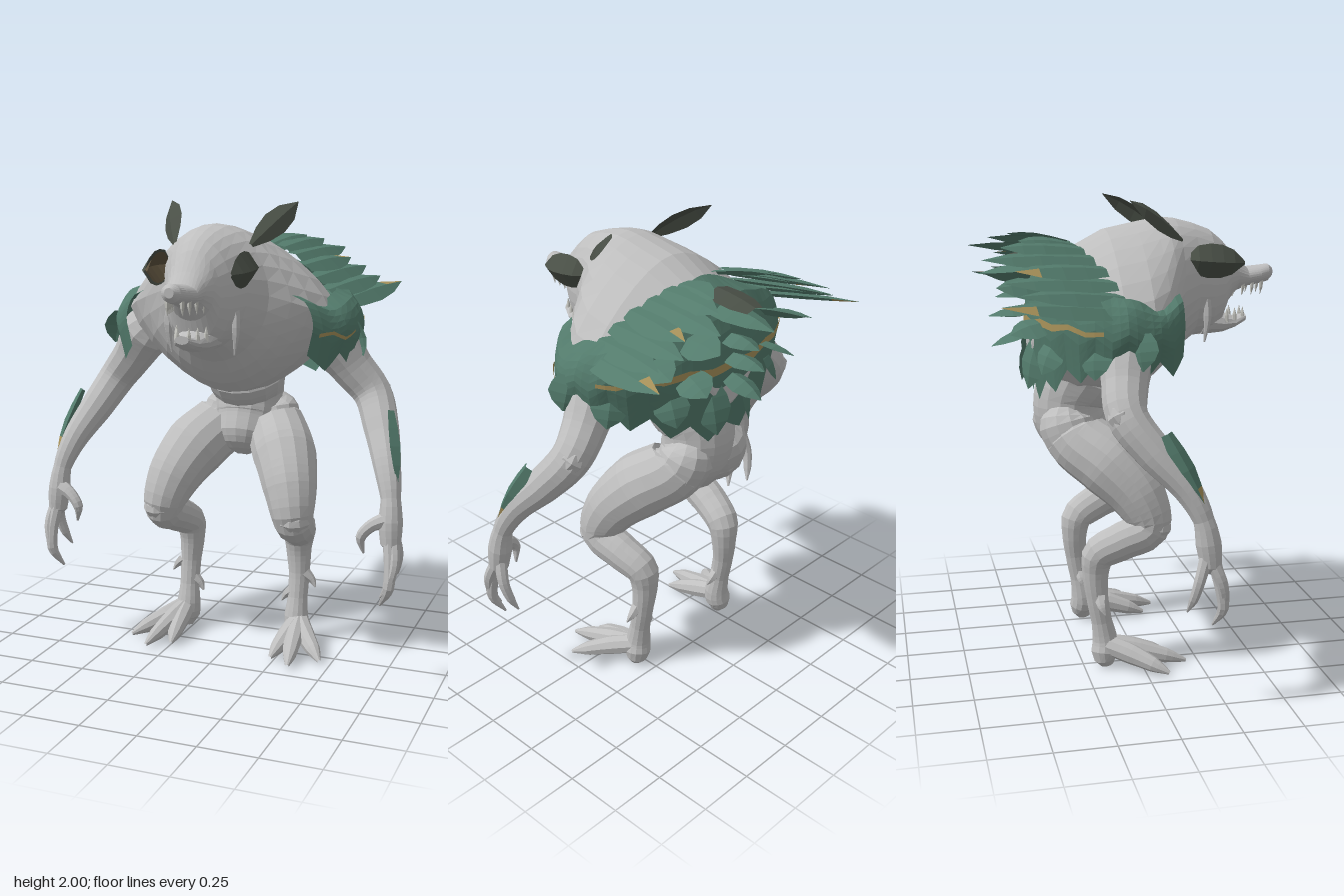
import * as THREE from 'three';

const mat = (name, color, side = THREE.FrontSide) =>
  Object.assign(new THREE.MeshStandardMaterial({ color, flatShading: true, side }), { name });
const skin = mat('grey skin', 0xbebebe);
const green = mat('green plates', 0x537b6c, THREE.DoubleSide);
const dark = mat('dark membrane', 0x4a5047, THREE.DoubleSide);
const brown = mat('brown eye lining', 0x5c513d, THREE.DoubleSide);
const tan = mat('tan streak', 0xa8925a, THREE.DoubleSide);
const bone = mat('pale teeth', 0xc8c8c2);
const V = (p) => new THREE.Vector3(p[0], p[1], p[2]);
const { lerp, smoothstep } = THREE.MathUtils;

function add(parent, name, geo, material) {
  const m = new THREE.Mesh(geo, material);
  m.name = name;
  parent.add(m);
  return m;
}

// Grid surface from rows of points; every row has the same count
function surface(rows, closed = false) {
  const n = rows[0].length, pos = rows.flat(2), idx = [];
  for (let i = 0; i < rows.length - 1; i++)
    for (let j = 0; j < (closed ? n : n - 1); j++) {
      const a = i * n + j, b = i * n + ((j + 1) % n);
      idx.push(a, b, a + n, b, b + n, a + n);
    }
  const g = new THREE.BufferGeometry();
  g.setAttribute('position', new THREE.Float32BufferAttribute(pos, 3));
  g.setIndex(idx);
  g.computeVertexNormals();
  return g;
}

// Loft along z: stations are [z, top, bottom, halfWidth]; the chest is pinched, the head stays round
function loft(stations, sides) {
  const first = stations[0], last = stations[stations.length - 1];
  const end = ([z, t, b]) => [z, (t + b) / 2, (t + b) / 2, 0];
  return surface([end(first), ...stations, end(last)].map(([z, t, b, w]) =>
    Array.from({ length: sides }, (_, j) => {
      const a = (j / sides) * Math.PI * 2, s = Math.sin(a);
      const pinch = 0.36 * (1 - smoothstep(z, 0.06, 0.24)) * Math.abs(s) ** 1.2;
      return [Math.cos(a) * w * (1 - pinch), (t + b) / 2 + s * (t - b) / 2, z];
    })), true);
}

// Tapered round limb through points [x, y, z, radius]
function limb(points, sides = 10, steps = 4) {
  const curve = new THREE.CatmullRomCurve3(points.map(V));
  const n = (points.length - 1) * steps;
  const g = new THREE.TubeGeometry(curve, n, 1, sides);
  const p = g.attributes.position, v = new THREE.Vector3();
  for (let i = 0; i <= n; i++) {
    const c = curve.getPointAt(i / n);
    const t = curve.getUtoTmapping(i / n) * (points.length - 1);
    const k = Math.min(Math.floor(t), points.length - 2);
    const r = lerp(points[k][3], points[k + 1][3], t - k);
    for (let j = 0; j <= sides; j++) {
      const q = i * (sides + 1) + j;
      v.fromBufferAttribute(p, q).sub(c).multiplyScalar(r).add(c);
      p.setXYZ(q, v.x, v.y, v.z);
    }
  }
  g.computeVertexNormals();
  return g;
}

// Ridged leaf blade; one half of its tip is a separate material group
function blade(base, tip, width, ridge, up = [0, 1, 0], widths = [0.6, 0.9, 1, 0.7, 0.03]) {
  const b = V(base), d = V(tip).sub(b);
  const side = d.clone().cross(V(up)).normalize(), n = side.clone().cross(d).normalize();
  const rows = widths.map((w, i) => [-1, 0, 1].map((s) =>
    b.clone().addScaledVector(d, i / (widths.length - 1)).addScaledVector(side, s * w * width / 2)
      .addScaledVector(n, s ? 0 : ridge * w).toArray()));
  const g = surface(rows), split = (widths.length - 2) * 12;
  g.addGroup(0, split, 0);
  g.addGroup(split, 6, 1);
  g.addGroup(split + 6, 6, 0);
  return g;
}

// Point on the back carapace: a = azimuth from the back, v = height fraction
function shellPoint(a, v, off = 1, drop = 0) {
  const k = Math.max(0, Math.cos(a)) ** 2;
  const dip = 0.05 * Math.exp(-(((Math.abs(a) - 1.95) / 0.2) ** 2));
  const top = 1.63 + 0.19 * k - dip, bottom = 1.38 - 0.16 * k * k - drop, fTop = 0.78 - 0.33 * k;
  const u = (v - 0.45) / 0.55, round = Math.sqrt(Math.max(0, 1 - u * u));
  const f = off * (v > 0.45 ? fTop + (1 - fTop) * round : lerp(0.94 - 0.04 * k, 1, v / 0.45));
  return [0.57 * Math.sin(a) * f, lerp(bottom, top, v), -0.1 - 0.34 * Math.cos(a) * (a * a > 2.5 ? 1.1 : f)];
}
function shellPatch(a0, a1, cols, v0, v1, rows, off, jag) {
  return surface(Array.from({ length: rows + 1 }, (_, i) =>
    Array.from({ length: cols + 1 }, (_, j) =>
      shellPoint(lerp(a0, a1, j / cols), lerp(v0, v1, i / rows), off,
        jag * (j % 4 === 2 ? 1 : j % 2 ? 0.5 : 0)))));
}

export function createModel() {
  const root = new THREE.Group();
  root.name = 'creature';

  // Torso flowing into the head and upper snout
  add(root, 'torsoAndHead', loft([
    [-0.43, 1.55, 1.32, 0.12], [-0.38, 1.68, 1.24, 0.3], [-0.25, 1.79, 1.17, 0.42],
    [-0.1, 1.87, 1.16, 0.475], [0.02, 1.895, 1.18, 0.465], [0.1, 1.91, 1.23, 0.4],
    [0.15, 1.915, 1.28, 0.33], [0.2, 1.91, 1.34, 0.25], [0.28, 1.89, 1.4, 0.185],
    [0.36, 1.86, 1.41, 0.15], [0.41, 1.82, 1.45, 0.12], [0.44, 1.785, 1.54, 0.105],
    [0.48, 1.74, 1.59, 0.085], [0.53, 1.695, 1.61, 0.07], [0.59, 1.7, 1.62, 0.058],
    [0.63, 1.705, 1.63, 0.042], [0.65, 1.69, 1.65, 0.02]], 28), skin);
  add(root, 'lowerJaw', loft([
    [0.32, 1.54, 1.4, 0.1], [0.42, 1.5, 1.41, 0.08], [0.48, 1.48, 1.43, 0.058],
    [0.53, 1.49, 1.455, 0.03]], 12), skin);
  add(root, 'pelvis', limb([[0, 1.34, -0.18, 0.1], [0, 1.24, -0.21, 0.19], [0, 1.14, -0.26, 0.155],
    [0, 1.04, -0.245, 0.155], [0, 0.94, -0.19, 0.135], [0, 0.89, -0.17, 0.09], [0, 0.86, -0.16, 0.02]], 16), skin);

  // Carapace over the back and shoulders, with tan streaks
  add(root, 'backShell', shellPatch(-2.3, 2.3, 48, 0, 1, 10, 1, 0.07), green);
  add(root, 'backStreak', shellPatch(-1.25, 1.25, 24, 0.44, 0.5, 1, 1.012, 0.03), tan);
  add(root, 'shoulderStreak', shellPatch(1.8, 2.25, 6, 0.38, 0.44, 1, 1.015, 0.03), tan);

  // Central back spines
  [[1.72, -0.26, 1.69, -0.64, 0.17], [1.6, -0.38, 1.59, -0.57, 0.13],
    [1.52, -0.4, 1.51, -0.6, 0.13], [1.44, -0.4, 1.38, -0.59, 0.13]].forEach(([y, z, ty, tz, w]) =>
    add(root, 'centreSpine', blade([0, y, z], [0, ty, tz], w, 0.03), [green, green]));
  add(root, 'centreDarkPlate', blade([0, 1.78, -0.34], [0, 1.75, -0.54], 0.16, 0.02, [0, 1, 0],
    [0.85, 1, 0.95, 0.6]), [dark, dark]);

  for (const s of [1, -1]) {
    const side = new THREE.Group();
    side.name = s > 0 ? 'leftSide' : 'rightSide';
    root.add(side);
    const m = ([x, ...rest]) => [x * s, ...rest];
    const tube = (name, pts, sides, steps, material = skin) =>
      add(side, name, limb(pts.map(m), sides, steps), material);
    const leaf = (name, b, t, w, h, up, mats, widths) =>
      add(side, name, blade(m(b), m(t), w, h, up && m(up), widths), mats);

    // Arm
    tube('arm', [[0.34, 1.5, -0.06, 0.06], [0.43, 1.42, -0.09, 0.12], [0.52, 1.3, -0.12, 0.095],
      [0.61, 1.19, -0.13, 0.085], [0.675, 1.06, -0.04, 0.076], [0.735, 0.92, 0.08, 0.058],
      [0.768, 0.8, 0.14, 0.042], [0.775, 0.7, 0.16, 0.052], [0.78, 0.61, 0.17, 0.042],
      [0.78, 0.58, 0.17, 0.01]], 12);
    tube('elbow', [[0.6, 1.25, -0.15, 0.02], [0.63, 1.2, -0.16, 0.06], [0.68, 1.12, -0.1, 0.02]], 8);
    tube('finger', [[0.775, 0.64, 0.18, 0.028], [0.79, 0.52, 0.21, 0.026],
      [0.785, 0.43, 0.22, 0.024], [0.745, 0.35, 0.19, 0.005]], 8);
    tube('finger', [[0.79, 0.64, 0.17, 0.027], [0.805, 0.54, 0.21, 0.024],
      [0.785, 0.45, 0.225, 0.018], [0.75, 0.39, 0.21, 0.004]], 8);
    tube('finger', [[0.785, 0.66, 0.15, 0.028], [0.8, 0.56, 0.12, 0.024],
      [0.785, 0.48, 0.1, 0.02], [0.76, 0.42, 0.08, 0.004]], 8);
    tube('thumb', [[0.765, 0.72, 0.17, 0.035], [0.7, 0.69, 0.19, 0.026],
      [0.66, 0.64, 0.2, 0.022], [0.67, 0.57, 0.19, 0.005]], 8);
    leaf('forearmFin', [0.722, 1.14, 0.0], [0.795, 0.86, 0.14], 0.08, 0.03, [1, 0.3, 0.1], [green, tan]);

    // Leg with backward hock
    tube('leg', [[0.07, 1.1, -0.25, 0.06], [0.12, 1.0, -0.25, 0.135], [0.215, 0.89, -0.12, 0.145],
      [0.28, 0.76, -0.01, 0.12], [0.31, 0.63, 0.03, 0.088], [0.295, 0.57, -0.08, 0.082],
      [0.27, 0.51, -0.18, 0.074], [0.265, 0.44, -0.195, 0.06], [0.27, 0.32, -0.19, 0.048],
      [0.27, 0.2, -0.17, 0.045], [0.27, 0.1, -0.155, 0.058], [0.28, 0.05, -0.16, 0.06],
      [0.28, 0.005, -0.15, 0.03]], 14);
    tube('buttock', [[0.07, 1.14, -0.28, 0.04], [0.1, 1.06, -0.29, 0.12], [0.13, 0.97, -0.25, 0.12],
      [0.17, 0.9, -0.19, 0.05]], 12);
    tube('kneecap', [[0.31, 0.72, 0.06, 0.03], [0.32, 0.64, 0.05, 0.08], [0.31, 0.55, 0.03, 0.03]], 10);
    [[0.24, 0.13], [0.34, 0.19], [0.455, 0.09]].forEach(([x, z]) =>
      tube('toe', [[0.28, 0.1, -0.16, 0.045], [lerp(0.28, x, 0.35), 0.07, lerp(-0.14, z, 0.35), 0.045],
        [lerp(0.28, x, 0.75), 0.038, lerp(-0.14, z, 0.75), 0.032], [x, 0.015, z, 0.008]], 9));
    tube('ankleSpur', [[0.25, 0.24, -0.17, 0.03], [0.215, 0.21, -0.17, 0.02], [0.195, 0.18, -0.16, 0.003]], 6);
    tube('hockSpur', [[0.3, 0.32, -0.18, 0.03], [0.335, 0.29, -0.18, 0.018], [0.355, 0.26, -0.17, 0.003]], 6);

    // Fan of long spines along the shoulder
    [[0.46, 1.57, -0.08, 0.61, 1.63, -0.61, tan], [0.41, 1.62, -0.1, 0.53, 1.66, -0.53, green],
      [0.35, 1.67, -0.12, 0.45, 1.7, -0.58, green], [0.29, 1.72, -0.15, 0.39, 1.74, -0.53, tan],
      [0.23, 1.76, -0.19, 0.33, 1.78, -0.65, green], [0.17, 1.79, -0.22, 0.25, 1.82, -0.57, green],
      [0.1, 1.8, -0.24, 0.19, 1.84, -0.49, green]].forEach(([x, y, z, tx, ty, tz, t]) =>
      leaf('shoulderSpine', [x, y, z], [tx, ty, tz], 0.132, 0.02, [0.5, 1, 0], [green, t]));
    // Shorter spines and hanging scales on the back
    [[0.2, 1.64, -0.36, 0.26, 1.66, -0.59], [0.36, 1.58, -0.3, 0.43, 1.58, -0.5],
      [0.22, 1.5, -0.38, 0.27, 1.47, -0.54], [0.1, 1.42, -0.4, 0.1, 1.21, -0.45],
      [0.29, 1.44, -0.35, 0.31, 1.31, -0.42], [0.47, 1.46, -0.22, 0.52, 1.32, -0.24],
      [0.54, 1.5, -0.06, 0.585, 1.36, -0.06]].forEach(([x, y, z, tx, ty, tz]) =>
      leaf('backScale', [x, y, z], [tx, ty, tz], 0.15, 0.02, [0.5, 0.6, -0.6], [green, green]));

    // Eye dish with its lining, and ear
    const eyeShape = [0.1, 0.72, 0.97, 1, 0.85, 0.1];
    leaf('eyeDish', [0.185, 1.73, 0.47], [0.185, 1.75, 0.21], 0.145, 0.05, [1, 0, 0], [dark, dark], eyeShape);
    leaf('eyeLining', [0.18, 1.732, 0.45], [0.18, 1.748, 0.23], 0.125, 0.047, [1, 0, 0], [brown, brown], eyeShape);
    leaf('ear', [0.17, 1.83, 0.2], [0.29, 2.0, -0.05], 0.11, 0.02, [0.6, 0.6, 0.6], [dark, dark],
      [0.2, 0.75, 1, 0.8, 0.03]);

    // Cheek barbel and teeth
    tube('cheekBarbel', [[0.14, 1.62, 0.31, 0.02], [0.15, 1.5, 0.32, 0.018], [0.14, 1.39, 0.31, 0.004]], 6);
    for (let i = 0; i < 4; i++) {
      const z = 0.46 + i * 0.045, x = 0.065 - i * 0.011;
      tube('upperTooth', [[x, 1.64, z, 0.011], [x, 1.61, z, 0.009], [x, 1.575, z - 0.005, 0.001]], 5, 2, bone);
    }
    for (let i = 0; i < 3; i++) {
      const z = 0.43 + i * 0.042, x = 0.065 - i * 0.02;
      tube('lowerTooth', [[x, 1.46, z, 0.011], [x, 1.49, z, 0.009], [x, 1.52, z, 0.001]], 5, 2, bone);
    }
  }
  return root;
}
